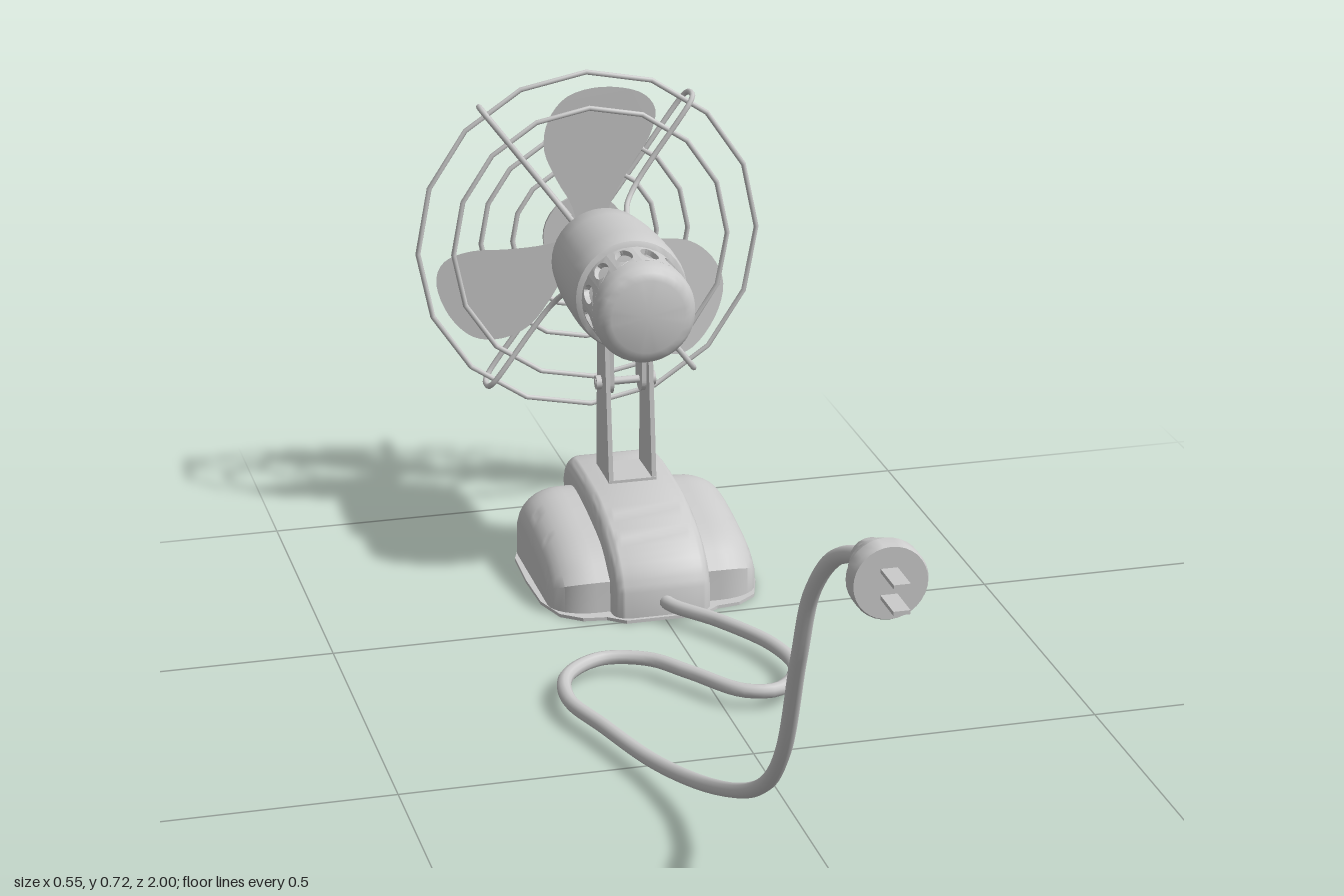
import * as THREE from 'three';
import { toCreasedNormals } from 'three/addons/utils/BufferGeometryUtils.js';

const grey = new THREE.MeshStandardMaterial({ color: 0xcccccc });
const greyThin = new THREE.MeshStandardMaterial({ color: 0xcccccc, side: THREE.DoubleSide });
const V2 = (p) => new THREE.Vector2(...p);
const V3 = (p) => new THREE.Vector3(...p);

const FAN_Y = 0.445;

function add(parent, name, geometry, material = grey) {
  const mesh = new THREE.Mesh(geometry, material);
  mesh.name = name;
  parent.add(mesh);
  return mesh;
}

// Turned shape whose axis lies along z; points are [radius, z] with z rising
function turned(points, segments = 40) {
  const g = new THREE.LatheGeometry(points.map(V2), segments).rotateX(Math.PI / 2);
  return toCreasedNormals(g, 0.6);
}

function wire(points, radius, segments, sides = 8) {
  const curve = new THREE.CatmullRomCurve3(points.map(V3), false, 'centripetal');
  return new THREE.TubeGeometry(curve, segments, radius, sides);
}

// Rounded body from a side profile [z, y], cut flat at the ground
function profileBody(points, halfWidth, bevelThickness, bevelSize) {
  const crown = new THREE.SplineCurve(points.slice(1, -1).map(V2)).getPoints(24);
  const shape = new THREE.Shape([V2(points[0]), ...crown, V2(points[points.length - 1])]);
  const depth = 2 * (halfWidth - bevelThickness);
  const g = new THREE.ExtrudeGeometry(shape, { depth, bevelThickness, bevelSize, bevelSegments: 8 });
  g.translate(0, 0, -depth / 2).rotateY(-Math.PI / 2);
  const p = g.attributes.position;
  for (let i = 0; i < p.count; i++) p.setY(i, Math.max(0.002, p.getY(i)));
  return toCreasedNormals(g, 0.7);
}

function buildBase() {
  const base = new THREE.Group();
  base.name = 'base';
  add(base, 'baseCentre', profileBody([
    [-0.525, -0.05], [-0.525, 0.04], [-0.54, 0.066], [-0.585, 0.095], [-0.65, 0.115],
    [-0.72, 0.122], [-0.815, 0.122], [-0.836, 0.105], [-0.84, -0.05]], 0.075, 0.025, 0.025));
  add(base, 'baseLobes', profileBody([
    [-0.585, -0.08], [-0.585, 0.028], [-0.61, 0.044], [-0.66, 0.055], [-0.72, 0.064],
    [-0.77, 0.066], [-0.79, 0.05], [-0.795, -0.08]], 0.16, 0.065, 0.05));
  // Thin foot rim around the whole footprint
  const half = [[0.06, 0.494], [0.085, 0.515], [0.12, 0.52], [0.15, 0.545], [0.167, 0.6],
    [0.17, 0.69], [0.167, 0.78], [0.15, 0.83], [0.12, 0.85], [0.085, 0.855], [0.06, 0.87]];
  const outline = [...half, ...half.map(([x, z]) => [-x, z]).reverse()];
  const rim = new THREE.ExtrudeGeometry(new THREE.Shape(outline.map(V2)), { depth: 0.005, bevelEnabled: false });
  add(base, 'footRim', rim.rotateX(-Math.PI / 2));
  return base;
}

function buildStand() {
  const stand = new THREE.Group();
  stand.name = 'stand';
  const plate = new THREE.Shape([[-0.694, 0.14], [-0.711, 0.362], [-0.762, 0.362], [-0.777, 0.14]].map(V2));
  for (const s of [-1, 1]) {
    const g = new THREE.ExtrudeGeometry(plate, { depth: 0.007, bevelEnabled: false });
    add(stand, 'standPlate', g.translate(0, 0, -0.0035).rotateY(-Math.PI / 2)).position.x = s * 0.0335;
    // Hinge tab hanging from the motor, with a rounded end
    const tab = new THREE.Shape();
    tab.moveTo(-0.02, 0.08).lineTo(-0.02, 0).absarc(0, 0, 0.02, Math.PI, 2 * Math.PI).lineTo(0.02, 0.08);
    const t = new THREE.ExtrudeGeometry(tab, { depth: 0.007, bevelEnabled: false });
    add(stand, 'hingeTab', t.translate(0, 0, -0.0035).rotateY(-Math.PI / 2)).position.set(s * 0.025, 0.297, -0.737);
    const nut = new THREE.CylinderGeometry(0.011, 0.011, 0.008, 12).rotateZ(Math.PI / 2);
    add(stand, 'hingeNut', nut).position.set(s * 0.042, 0.295, -0.737);
  }
  add(stand, 'standFoot', new THREE.BoxGeometry(0.074, 0.008, 0.083)).position.set(0, 0.146, -0.7355);
  const bolt = new THREE.CylinderGeometry(0.006, 0.006, 0.094, 12).rotateZ(Math.PI / 2);
  add(stand, 'hingeBolt', bolt).position.set(0, 0.295, -0.737);
  return stand;
}

// One slice of the vented band: a strip with an oval hole, bent round the z axis
function ventPanel(angle, radius, z0, z1) {
  const n = 4, w = angle * radius, mid = (z0 + z1) / 2;
  const pts = [];
  for (let i = 0; i <= n; i++) pts.push(V2([-w / 2 + (w * i) / n, z0]));
  for (let i = n; i >= 0; i--) pts.push(V2([-w / 2 + (w * i) / n, z1]));
  const shape = new THREE.Shape(pts);
  shape.holes.push(new THREE.Path().absellipse(0, mid, 0.013, 0.025, 0, Math.PI * 2, true));
  const g = new THREE.ExtrudeGeometry(shape, { depth: 0.008, bevelEnabled: false, curveSegments: 10 });
  const p = g.attributes.position;
  for (let i = 0; i < p.count; i++) {
    const a = p.getX(i) / radius, r = radius - 0.008 + p.getZ(i);
    p.setXYZ(i, r * Math.cos(a), r * Math.sin(a), p.getY(i));
  }
  return toCreasedNormals(g, 0.6);
}

function buildMotor() {
  const motor = new THREE.Group();
  motor.name = 'motor';
  motor.position.y = FAN_Y;
  add(motor, 'motorBarrel', turned([[0, -0.886], [0.066, -0.886], [0.075, -0.883], [0.08, -0.875],
    [0.085, -0.83], [0.088, -0.78], [0.089, -0.73], [0.088, -0.7], [0.085, -0.69], [0.076, -0.686], [0, -0.686]]));
  add(motor, 'rearCap', turned([[0, -0.622], [0.077, -0.622], [0.077, -0.608], [0.074, -0.597],
    [0.067, -0.589], [0.056, -0.585], [0, -0.583]]));
  add(motor, 'motorCore', turned([[0.052, -0.69], [0.052, -0.62]], 24));
  const count = 12, step = (Math.PI * 2) / count;
  for (let i = 0; i < count; i++) {
    add(motor, 'ventPanel', ventPanel(step, 0.077, -0.688, -0.62)).rotation.z = (i + 0.5) * step;
  }
  add(motor, 'shaft', turned([[0, -0.975], [0.016, -0.975], [0.016, -0.945], [0.009, -0.942], [0.009, -0.88]], 16));
  return motor;
}

function buildBlades() {
  const blades = new THREE.Group();
  blades.name = 'blades';
  blades.position.set(0, FAN_Y, -0.966);
  const edge = [[-0.015, 0.0], [-0.025, 0.055], [-0.048, 0.099], [-0.067, 0.148], [-0.06, 0.195], [-0.03, 0.232],
    [0.023, 0.245], [0.08, 0.235], [0.105, 0.206], [0.095, 0.162], [0.065, 0.115], [0.035, 0.06], [0.015, 0.0]];
  const outline = new THREE.SplineCurve(edge.map(V2)).getPoints(48);
  for (let i = 0; i < 3; i++) {
    const g = new THREE.ShapeGeometry(new THREE.Shape(outline));
    const p = g.attributes.position;
    for (let k = 0; k < p.count; k++) p.setZ(k, p.getX(k) * 0.1);
    g.computeVertexNormals();
    add(blades, 'blade', g, greyThin).rotation.z = (i * Math.PI * 2) / 3;
  }
  return blades;
}

function buildGuard() {
  const guard = new THREE.Group();
  guard.name = 'guard';
  guard.position.y = FAN_Y;
  // Rings: radius, z
  for (const [r, z] of [[0.269, -0.968], [0.217, -0.949], [0.165, -0.993], [0.115, -0.993]]) {
    add(guard, 'guardRing', new THREE.TorusGeometry(r, 0.004, 8, 16)).position.z = z;
  }
  // Hairpin spokes from the motor, round the rim and back to the front badge plate
  const spoke = [[0.068, 0, -0.875], [0.075, 0, -0.9], [0.088, 0, -0.925], [0.115, 0, -0.94], [0.16, 0, -0.946],
    [0.265, 0, -0.95], [0.276, 0, -0.958], [0.276, 0, -0.985], [0.265, 0, -0.994], [0.16, 0, -0.995], [0.04, 0, -0.995]];
  const tilt = Math.atan2(0.222, 0.165);
  for (const a of [tilt, Math.PI - tilt, Math.PI + tilt, -tilt]) {
    add(guard, 'guardSpoke', wire(spoke, 0.0045, 60)).rotation.z = a;
  }
  const plate = new THREE.CylinderGeometry(0.066, 0.066, 0.005, 32).rotateX(Math.PI / 2);
  add(guard, 'guardCentrePlate', plate).position.z = -0.9975;
  return guard;
}

function buildCord() {
  const cord = new THREE.Group();
  cord.name = 'powerCord';
  const path = [[0, 0.026, -0.53], [0.005, 0.026, -0.49], [0.06, 0.026, -0.41], [0.113, 0.026, -0.3], [0.12, 0.026, -0.21],
    [0.075, 0.026, -0.147], [0.03, 0.026, -0.155], [-0.03, 0.026, -0.24], [-0.075, 0.026, -0.3],
    [-0.14, 0.026, -0.32], [-0.2, 0.026, -0.275], [-0.218, 0.026, -0.19], [-0.192, 0.026, -0.09],
    [-0.155, 0.03, 0.05], [-0.118, 0.065, 0.22], [-0.102, 0.14, 0.395], [-0.113, 0.26, 0.55],
    [-0.127, 0.44, 0.67], [-0.128, 0.55, 0.73], [-0.118, 0.615, 0.79], [-0.104, 0.64, 0.85], [-0.1, 0.645, 0.9]];
  add(cord, 'cord', wire(path, 0.0105, 180, 10));
  const plug = new THREE.Group();
  plug.name = 'plug';
  plug.position.set(-0.1, 0.645, 0);
  add(plug, 'plugBody', turned([[0, 0.862], [0.018, 0.862], [0.024, 0.868], [0.028, 0.885], [0.036, 0.9],
    [0.04, 0.922], [0.046, 0.926], [0.046, 0.946], [0.044, 0.95], [0, 0.95]], 32));
  for (const s of [-1, 1]) {
    add(plug, 'prong', new THREE.BoxGeometry(0.02, 0.005, 0.06)).position.set(-0.002, s * 0.016, 0.97);
  }
  cord.add(plug);
  return cord;
}

export function createModel() {
  const model = new THREE.Group();
  model.name = 'deskFan';
  model.add(buildBase(), buildStand(), buildMotor(), buildBlades(), buildGuard(), buildCord());
  return model;
}
